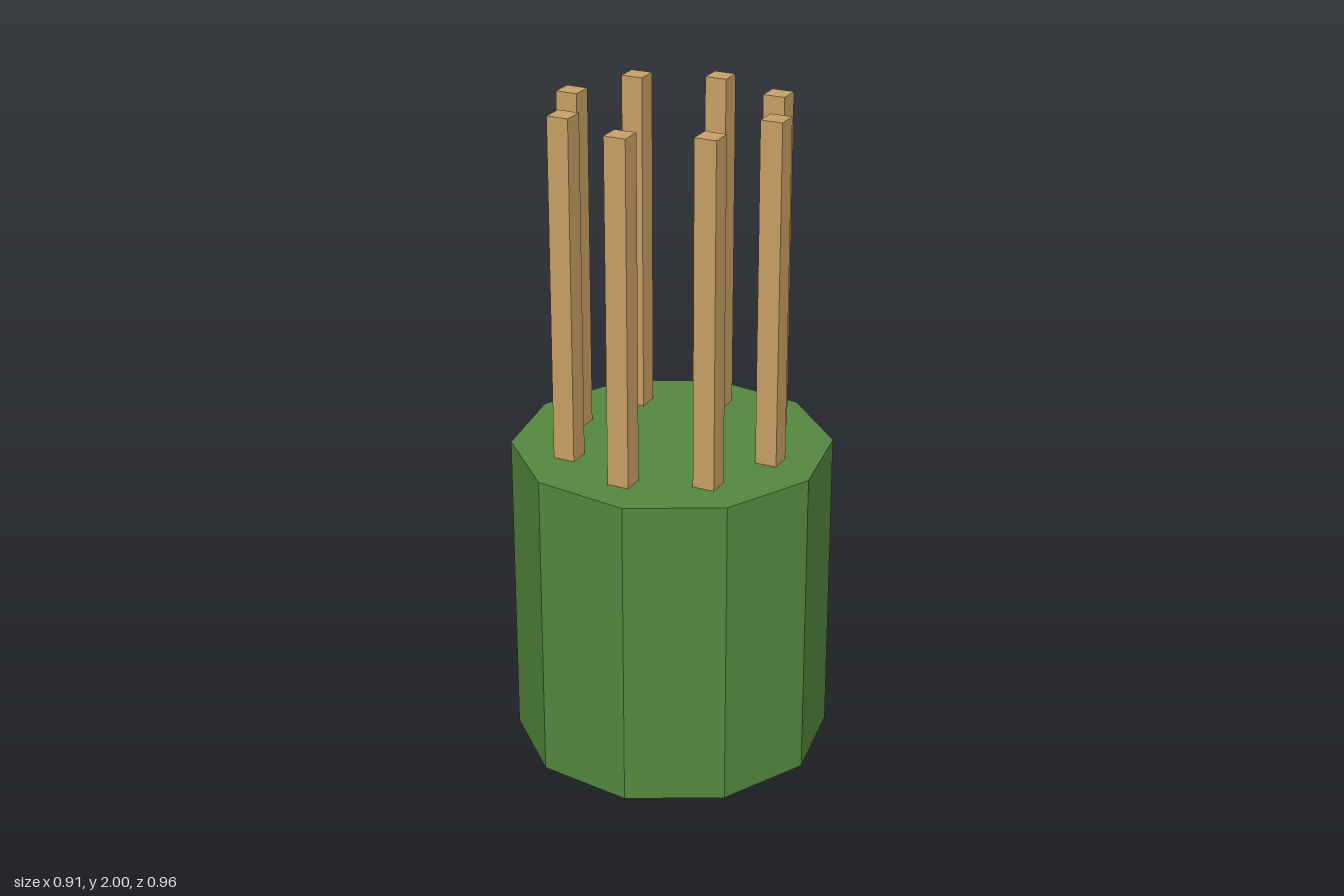
import * as THREE from 'three';

export function createModel() {
  const model = new THREE.Group();
  const green = new THREE.MeshStandardMaterial({ color: 0x54883f, flatShading: true });
  green.name = 'green';
  const wood = new THREE.MeshStandardMaterial({ color: 0xc8a064, flatShading: true });
  wood.name = 'wood';

  const bodyHeight = 0.96, totalHeight = 2, sink = 0.02;

  // Ten-sided body
  const body = new THREE.Mesh(new THREE.CylinderGeometry(0.48, 0.48, bodyHeight, 10), green);
  body.name = 'body';
  body.position.y = bodyHeight / 2;
  model.add(body);

  // Ring of eight square sticks, all set diagonally and sunk slightly into the body
  const sticks = new THREE.Group();
  sticks.name = 'sticks';
  const length = totalHeight - bodyHeight + sink;
  const stickGeometry = new THREE.CylinderGeometry(0.047, 0.047, length, 4);
  for (let i = 0; i < 8; i++) {
    const angle = (i / 8) * Math.PI * 2;
    const stick = new THREE.Mesh(stickGeometry, wood);
    stick.name = `stick${i + 1}`;
    stick.position.set(Math.cos(angle) * 0.32, totalHeight - length / 2, Math.sin(angle) * 0.32);
    sticks.add(stick);
  }
  model.add(sticks);

  return model;
}
